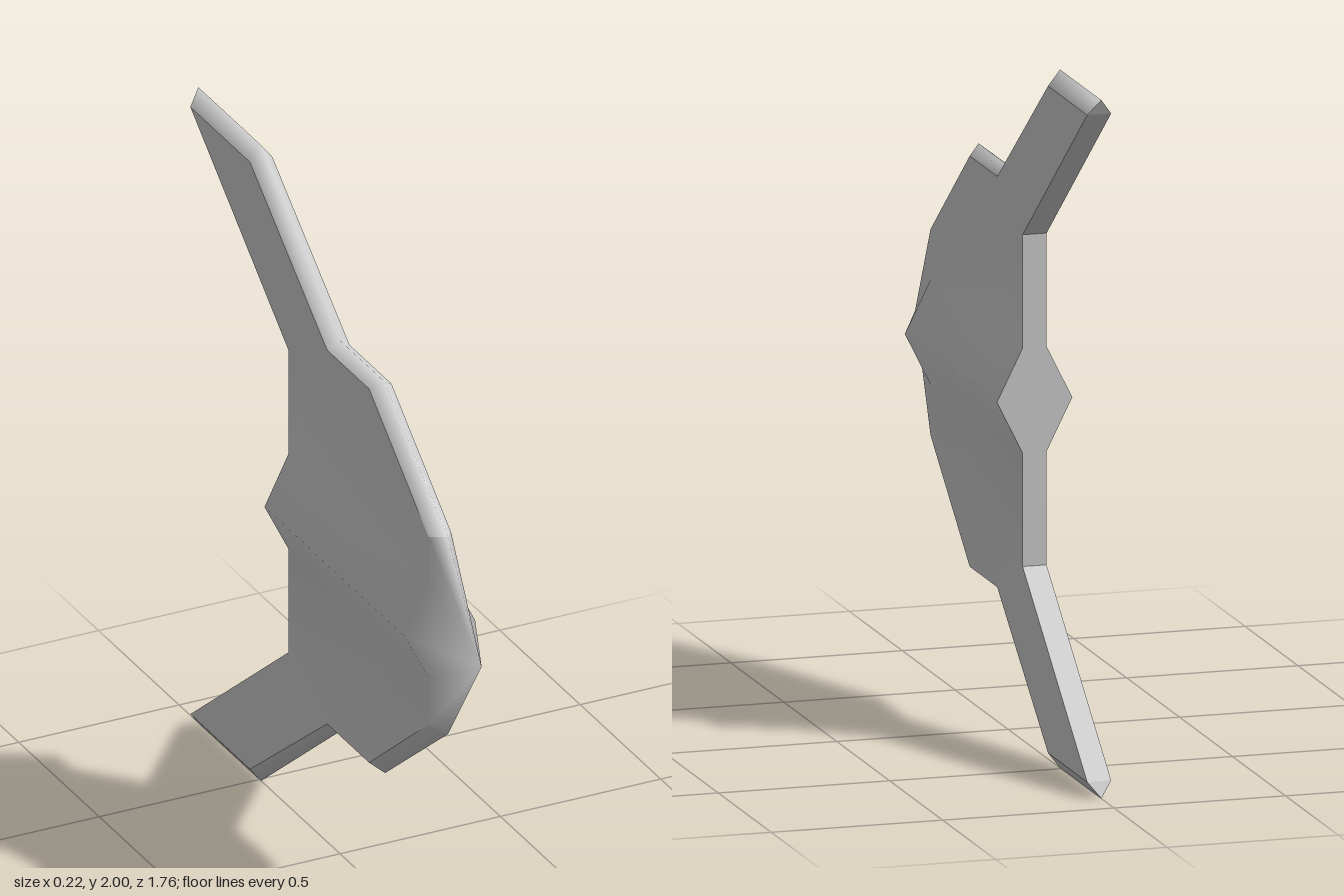
import * as THREE from 'three';
import { mergeVertices } from 'three/addons/utils/BufferGeometryUtils.js';

const T = 0.035; // half thickness of the wing plate
const R = 0.11; // half width of the central ridge

// Quarter-model points: [x, height above the middle, z]
const P = {
  nose: [0, 0, 0.88],
  ridgeFront: [R, 0, 0.62], ridgeBack: [R, 0, -0.25], midBack: [0, 0, -0.25],
  footFront: [T, 0.15, 0.62], footBack: [T, 0.15, -0.25], footMid: [0, 0.15, -0.25],
  root: [T, 0.475, -0.25], rootMid: [0, 0.475, -0.25],
  tipMid: [0, 0.955, -0.86],
};
// Leading edge: sharp outer line and the inner line where the bevel ends
const outer = [[0.31, 0.67], [0.615, 0.28], [0.615, 0], [1, -0.49], [1, -0.88]].map(([y, z]) => [0, y, z]);
const inner = [[0.295, 0.62], [0.588, 0.25], [0.588, -0.01], [0.955, -0.49], [0.955, -0.86]].map(([y, z]) => [T, y, z]);

// Mirrors convex polygons (counter-clockwise from outside) to all four quarters
function quarters(name, polygons, smooth) {
  const positions = [];
  for (const sx of [1, -1]) {
    for (const sy of [1, -1]) {
      const put = ([x, y, z]) => positions.push(x * sx, 1 + y * sy, z);
      for (const poly of polygons) {
        for (let i = 1; i < poly.length - 1; i++) {
          const tri = [poly[0], poly[i], poly[i + 1]];
          if (sx * sy < 0) tri.reverse();
          tri.forEach(put);
        }
      }
    }
  }
  let geometry = new THREE.BufferGeometry();
  geometry.setAttribute('position', new THREE.Float32BufferAttribute(positions, 3));
  if (smooth) geometry = mergeVertices(geometry);
  geometry.computeVertexNormals();
  const mesh = new THREE.Mesh(geometry, new THREE.MeshStandardMaterial({ color: 0xcccccc }));
  mesh.name = name;
  return mesh;
}

export function createModel() {
  const group = new THREE.Group();
  group.name = 'sweptWing';
  const [a, b, c, d, e] = inner;

  // Side skin: pointed nose, soft ridge and flat wing panels
  group.add(quarters('hullSkin', [
    [P.nose, P.ridgeFront, P.footFront],
    [P.nose, P.footFront, a],
    [P.nose, a, outer[0]],
    [P.ridgeFront, P.ridgeBack, P.footBack, P.footFront],
    [P.footFront, P.footBack, P.root],
    [P.footFront, P.root, c, b, a],
    [P.root, e, d, c],
  ], true));

  // Bevelled leading edges
  const bevels = [];
  for (let i = 0; i < 4; i++) bevels.push([inner[i], inner[i + 1], outer[i + 1], outer[i]]);
  group.add(quarters('leadingEdge', bevels, true));

  // Flat stern, wing trailing edges and wing tips
  group.add(quarters('trailingEdge', [
    [P.ridgeBack, P.midBack, P.footMid, P.footBack],
    [P.footBack, P.footMid, P.rootMid, P.root],
    [P.root, P.rootMid, P.tipMid, e],
    [e, P.tipMid, outer[4]],
  ], false));

  return group;
}
